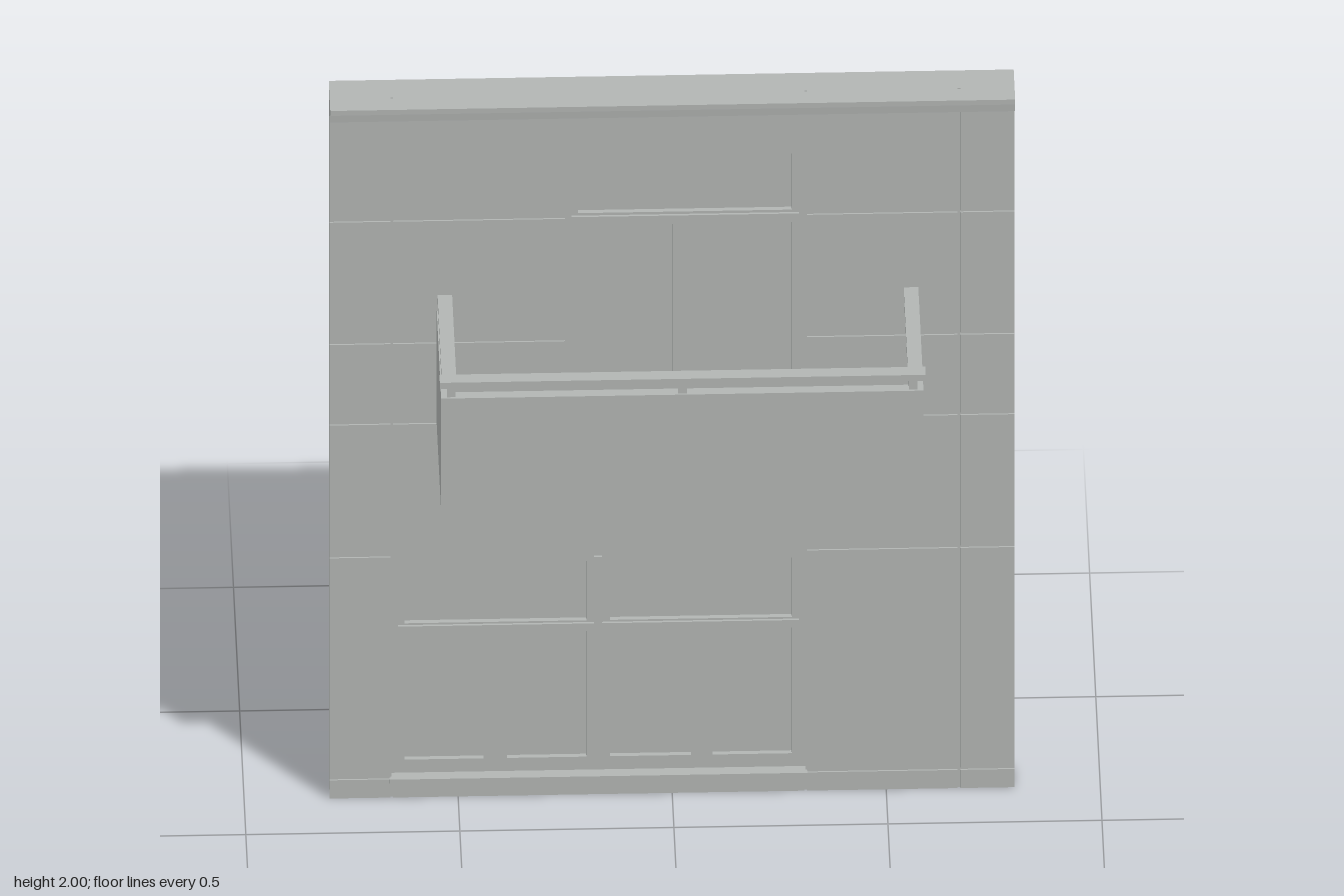
import * as THREE from 'three';

export function createModel() {
  const model = new THREE.Group();
  const grey = new THREE.MeshStandardMaterial({ color: 0xb2b5b3 });
  grey.name = 'plasterGrey';

  const group = (name) => {
    const g = new THREE.Group();
    g.name = name;
    model.add(g);
    return g;
  };
  // Box given by its limits on each axis
  const box = (parent, name, x0, x1, y0, y1, z0, z1) => {
    const m = new THREE.Mesh(new THREE.BoxGeometry(x1 - x0, y1 - y0, z1 - z0), grey);
    m.position.set((x0 + x1) / 2, (y0 + y1) / 2, (z0 + z1) / 2);
    m.name = name;
    parent.add(m);
  };
  const trace = (path, [x0, x1, y0, y1]) =>
    path.moveTo(x0, y0).lineTo(x1, y0).lineTo(x1, y1).lineTo(x0, y1).closePath();
  // Upright plate with rectangular holes
  const plate = (parent, name, outer, holes, z0, z1) => {
    const shape = trace(new THREE.Shape(), outer);
    holes.forEach((h) => shape.holes.push(trace(new THREE.Path(), h)));
    const m = new THREE.Mesh(new THREE.ExtrudeGeometry(shape, { depth: z1 - z0, bevelEnabled: false }), grey);
    m.position.z = z0;
    m.name = name;
    parent.add(m);
  };

  const BACK = -0.215, FACE = -0.14, SKIN = FACE - 0.004;
  const lower = [-0.655, 0.312, 0.055, 0.69];
  const upper = [-0.25, 0.312, 1.13, 1.84];

  // Wall core with both window openings
  const wall = group('wall');
  plate(wall, 'wallCore', [-0.8, 0.8, 0, 2], [lower, upper], BACK, SKIN);

  // Facing panels, separated by narrow joints
  const xs = [-0.8, -0.655, 0.312, 0.67, 0.8];
  const ys = [0, 0.055, 0.69, 1.07, 1.3, 1.65, 2];
  const gap = 0.003;
  const panel = (x0, x1, y0, y1) => {
    if (x1 - x0 > 0.001 && y1 - y0 > 0.001) box(wall, 'facingPanel', x0, x1, y0, y1, SKIN, FACE);
  };
  for (let i = 0; i < xs.length - 1; i++) {
    for (let j = 0; j < ys.length - 1; j++) {
      if (i === 1 && j === 1) continue; // lower window fills this bay
      const x0 = xs[i] + (i ? gap : 0), x1 = xs[i + 1] - (i < xs.length - 2 ? gap : 0);
      const y0 = ys[j] + (j ? gap : 0), y1 = ys[j + 1] - (j < ys.length - 2 ? gap : 0);
      const [u0, u1, v0, v1] = upper;
      if (i === 1 && y1 > v0 && y0 < v1) {
        const b = Math.max(y0, v0), t = Math.min(y1, v1);
        panel(x0, x1, y0, b);
        panel(x0, x1, t, y1);
        panel(x0, u0, b, t);
        panel(u1, x1, b, t);
      } else panel(x0, x1, y0, y1);
    }
  }

  // Stepped cornice along the top
  const profile = new THREE.Shape();
  [[0, 1.955], [0.03, 1.955], [0.032, 1.978], [0.047, 1.986], [0.047, 2], [0, 2]].forEach(([z, y], k) =>
    k ? profile.lineTo(-z, y) : profile.moveTo(-z, y));
  const cornice = new THREE.Mesh(new THREE.ExtrudeGeometry(profile, { depth: 1.6, bevelEnabled: false }), grey);
  cornice.rotation.y = Math.PI / 2;
  cornice.position.set(-0.8, 0, FACE);
  cornice.name = 'cornice';
  model.add(cornice);

  // Windows: frame with pane holes, flat pane behind, raised cover strips
  const addWindow = (name, outer, panes, strips) => {
    const g = group(name);
    plate(g, 'frame', outer, panes, -0.17, -0.158);
    box(g, 'pane', ...outer, -0.175, -0.17);
    strips.forEach((s) => box(g, 'coverStrip', ...s, -0.158, -0.152));
  };
  addWindow('lowerWindow', lower, [
    [-0.625, -0.2, 0.485, 0.655], [-0.145, 0.28, 0.485, 0.655],
    ...[[-0.625, -0.44], [-0.385, -0.2], [-0.145, 0.045], [0.095, 0.28]].map(([a, b]) => [a, b, 0.095, 0.455]),
  ], [
    ...[-0.413, -0.173, 0.069].map((x) => [x - 0.009, x + 0.009, 0.08, 0.46]),
    [-0.182, -0.164, 0.48, 0.67],
    [-0.64, 0.297, 0.46, 0.48],
  ]);
  addWindow('upperWindow', upper, [
    [-0.22, 0.28, 1.65, 1.81], [-0.22, 0.002, 1.16, 1.615], [0.055, 0.28, 1.16, 1.615],
  ], [
    [0.019, 0.037, 1.15, 1.625],
    [-0.235, 0.297, 1.625, 1.643],
  ]);
  box(model, 'windowSill', -0.66, 0.316, 0.046, 0.058, -0.17, -0.13);

  // Balcony: slab, parapet, posts and handrail
  const balcony = group('balcony');
  const L = -0.55, R = 0.577, F = 0.215, t = 0.025;
  box(balcony, 'slab', L, R, 1.065, 1.145, FACE, F);
  box(balcony, 'frontParapet', L, R, 1.145, 1.39, F - t, F);
  box(balcony, 'sideParapet', L, L + t, 1.145, 1.39, FACE, F - t);
  box(balcony, 'sideParapet', R - t, R, 1.145, 1.39, FACE, F - t);
  for (const x of [-0.526, 0.014, 0.553])
    box(balcony, 'railPost', x - 0.01, x + 0.01, 1.39, 1.42, 0.192, 0.21);
  box(balcony, 'frontRail', L - 0.003, R + 0.005, 1.418, 1.435, 0.182, F);
  box(balcony, 'sideRail', L + 0.002, L + 0.036, 1.418, 1.435, FACE, 0.182);
  box(balcony, 'sideRail', R - 0.036, R - 0.002, 1.418, 1.435, FACE, 0.182);

  return model;
}
